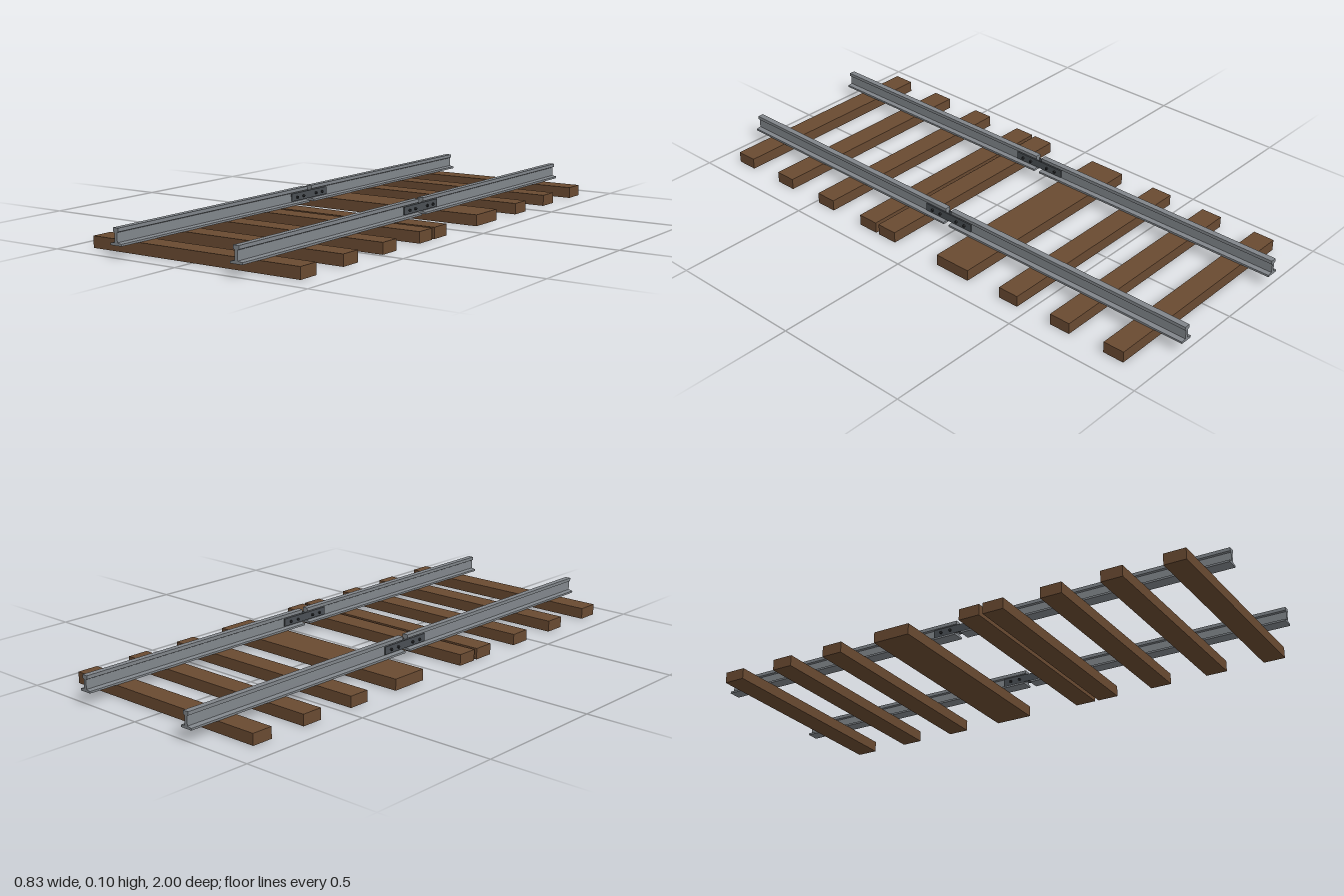
import * as THREE from 'three';

export function createModel() {
  const group = new THREE.Group();
  const mat = (name, color) => {
    const m = new THREE.MeshStandardMaterial({ color });
    m.name = name;
    return m;
  };
  const wood = mat('brown wood', 0x694a31);
  const steel = mat('rail steel', 0x80858a);
  const plateSteel = mat('dark plate steel', 0x4a4f54);
  const boltSteel = mat('black bolt steel', 0x26282b);

  const add = (name, geometry, material, x, y, z) => {
    const mesh = new THREE.Mesh(geometry, material);
    mesh.name = name;
    mesh.position.set(x, y, z);
    group.add(mesh);
    return mesh;
  };

  // Sleepers: [centre z, depth]; the one behind the joint is double width
  const sleepers = [
    [-0.853, 0.078], [-0.637, 0.078], [-0.42, 0.078], [-0.171, 0.14],
    [0.139, 0.078], [0.231, 0.078], [0.447, 0.078], [0.664, 0.078], [0.881, 0.078],
  ];
  for (const [z, depth] of sleepers) {
    add('sleeper', new THREE.BoxGeometry(0.83, 0.04, depth), wood, 0, 0.02, z);
  }

  // Rail cross-section: right half from foot to head, then mirrored
  const half = [
    [0.023, 0.04], [0.023, 0.047], [0.006, 0.05],
    [0.005, 0.082], [0.011, 0.085], [0.011, 0.097],
  ];
  const outline = [...half, ...half.map(([x, y]) => [-x, y]).reverse()];
  const profile = new THREE.Shape(outline.map(([x, y]) => new THREE.Vector2(x, y)));
  const gap = 0.012;
  const railGeometry = new THREE.ExtrudeGeometry(profile, { depth: 1 - gap, bevelEnabled: false });

  const plateGeometry = new THREE.BoxGeometry(0.004, 0.028, 0.21);
  const boltGeometry = new THREE.CylinderGeometry(0.005, 0.005, 0.012, 6);
  boltGeometry.rotateZ(Math.PI / 2);

  for (const x of [-0.24, 0.24]) {
    // Two rail lengths with an expansion gap between them
    add('rail', railGeometry, steel, x, 0, gap);
    add('rail', railGeometry, steel, x, 0, -1);

    // Joint plates and bolts on both sides of the web
    for (const side of [-1, 1]) {
      add('jointPlate', plateGeometry, plateSteel, x + side * 0.009, 0.067, 0);
      for (const z of [-0.075, -0.038, 0.038, 0.075]) {
        add('jointBolt', boltGeometry, boltSteel, x + side * 0.011, 0.066, z);
      }
    }
  }
  return group;
}
